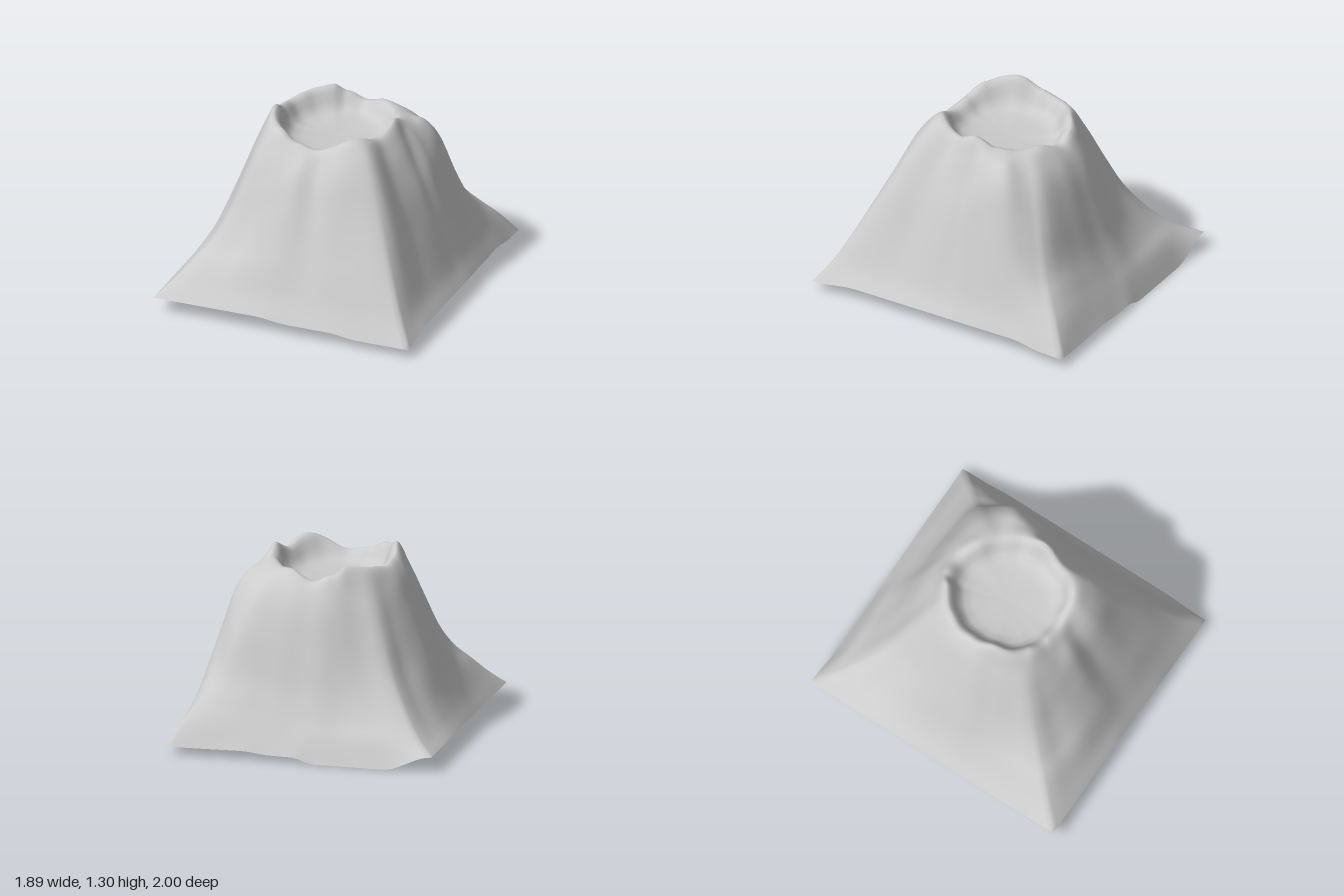
import * as THREE from 'three';

const HX = 0.945, HZ = 1, SIDE = 40, DOWN = 35;

// Smooth interpolation through [key, value] pairs (value: number or array)
function blend(keys, k) {
  let i = 0;
  while (i < keys.length - 2 && k > keys[i + 1][0]) i++;
  const [k0, a] = keys[i], [k1, b] = keys[i + 1];
  const s = THREE.MathUtils.smoothstep(k, k0, k1);
  return Array.isArray(a) ? a.map((v, n) => v + (b[n] - v) * s) : a + (b - a) * s;
}

// Catmull-Rom through evenly spaced values, level at the start
function spline(v, t) {
  const f = t * (v.length - 1), i = Math.min(Math.floor(f), v.length - 2), u = f - i;
  const b = v[i], c = v[i + 1];
  const a = i > 0 ? v[i - 1] : c, d = i + 2 < v.length ? v[i + 2] : 2 * c - b;
  return b + 0.5 * u * (c - a + u * (2 * a - 5 * b + 4 * c - d + u * (3 * (b - c) + d - a)));
}

// Crater rim height and radius by angle in degrees (0 = +x, 90 = +z)
const rimHeight = [[0, 1.28], [24, 1.21], [50, 1.265], [88, 1.155], [108, 1.18], [128, 1.24], [159, 1.3],
  [183, 1.23], [200, 1.21], [218, 1.23], [246, 1.255], [258, 1.2], [275, 1.15], [300, 1.21], [318, 1.2], [338, 1.22], [360, 1.28]];
const rimRadius = [[0, 0.43], [24, 0.42], [48, 0.455], [90, 0.41], [133, 0.44], [180, 0.405], [226, 0.42], [270, 0.45], [314, 0.43], [360, 0.43]];

// Slope heights by angle, at sevenths of the way from rim to outer edge
const right = [1.15, 0.98, 0.81, 0.61, 0.4, 0.22];
const slope = [
  [0, right],
  [24, [1.1, 0.95, 0.78, 0.58, 0.39, 0.22]],
  [46.6, [1.18, 1.02, 0.83, 0.63, 0.42, 0.225]],
  [66, [1.16, 1.03, 0.81, 0.6, 0.42, 0.23]],
  [82, [1.07, 0.94, 0.76, 0.58, 0.4, 0.23]],
  [96, [1.1, 0.99, 0.8, 0.6, 0.42, 0.23]],
  [133.4, [1.1, 0.86, 0.61, 0.44, 0.33, 0.215]],
  [180, [1.15, 0.97, 0.77, 0.57, 0.37, 0.22]],
  [226.6, [1.06, 0.81, 0.57, 0.4, 0.27, 0.175]],
  [270, [1.09, 0.94, 0.7, 0.46, 0.29, 0.16]],
  [313.4, [1.15, 1.03, 0.81, 0.52, 0.365, 0.23]],
  [332, [1.19, 1.15, 1.03, 0.78, 0.52, 0.27]],
  [349, [1.19, 1.09, 0.94, 0.71, 0.47, 0.25]],
  [360, right],
];

// Height of the outer edge along each side
const frontEdge = [[-HX, 0.11], [-0.2, 0.11], [0.05, 0.087], [0.35, 0.087], [0.55, 0.065], [HX, 0.065]];
const backEdge = [[-HX, 0.11], [-0.6, 0], [-0.1, 0], [0.05, 0.04], [0.2, 0.042], [0.4, 0.06], [0.8, 0.055], [HX, 0.065]];
const rightEdge = [[-1, 0.065], [-0.85, 0.07], [-0.6, 0.107], [0.65, 0.107], [1, 0.065]];

// Outer edge as a closed loop of points, running from +x towards +z
function edgeLoop() {
  const pts = [];
  for (let i = 0; i < SIDE; i++) {
    const z = -HZ + (2 * HZ * i) / SIDE;
    pts.push([HX, blend(rightEdge, z), z]);
  }
  for (let i = 0; i < SIDE; i++) {
    const x = HX - (2 * HX * i) / SIDE;
    pts.push([x, blend(frontEdge, x), HZ]);
  }
  for (let i = 0; i < SIDE; i++) pts.push([-HX, 0.11, HZ - (2 * HZ * i) / SIDE]);
  for (let i = 0; i < SIDE; i++) {
    const x = -HX + (2 * HX * i) / SIDE;
    pts.push([x, blend(backEdge, x), -HZ]);
  }
  return pts;
}

// Crater from centre to rim: [share of rim radius, share of climb]
const bowl = [[0, 0], [0.25, 0.01], [0.55, 0.04], [0.7, 0.11], [0.79, 0.26], [0.85, 0.5], [0.9, 0.77], [0.95, 0.94]];
const FLOOR = 1.07;

function mountainGeometry() {
  const loop = edgeLoop(), n = loop.length, rows = bowl.length + DOWN + 1;
  const reach = loop.map(([x, , z]) => Math.hypot(x, z));
  // Corner reach averaged with its neighbours, to round the ridges higher up
  const soft = reach.map((_, i) => {
    let sum = 0;
    for (let k = -4; k <= 4; k++) sum += reach[(i + k + n) % n];
    return sum / 9;
  });
  const pos = [], index = [];
  for (let j = 0; j < rows; j++) {
    loop.forEach(([ex, ey, ez], i) => {
      const angle = Math.atan2(ez, ex), edge = reach[i];
      const deg = (THREE.MathUtils.radToDeg(angle) + 360) % 360;
      const top = blend(rimHeight, deg);
      const rim = blend(rimRadius, deg) + 0.003 * Math.sin(angle * 13);
      let r, y;
      if (j < bowl.length) {
        r = rim * bowl[j][0];
        y = FLOOR + (top - FLOOR) * bowl[j][1];
      } else {
        const t = (j - bowl.length) / DOWN;
        r = rim + (THREE.MathUtils.lerp(soft[i], edge, t * t) - rim) * t;
        // Shallow gullies fade out at rim and foot
        const gully = Math.sin(angle * 11 + 1) + 0.6 * Math.sin(angle * 19 + 3 * t);
        y = spline([top, ...blend(slope, deg), ey], t) + 0.008 * gully * Math.sin(Math.PI * t) ** 2;
      }
      pos.push((ex / edge) * r, y, (ez / edge) * r);
    });
  }
  for (let j = 0; j < rows - 1; j++) {
    for (let i = 0; i < n; i++) {
      const a = j * n + i, d = j * n + ((i + 1) % n), b = a + n, c = d + n;
      if (j > 0) index.push(a, d, c);
      index.push(a, c, b);
    }
  }
  const geo = new THREE.BufferGeometry();
  geo.setAttribute('position', new THREE.Float32BufferAttribute(pos, 3));
  geo.setIndex(index);
  geo.computeVertexNormals();
  return geo;
}

export function createModel() {
  const model = new THREE.Group();
  model.name = 'volcano';
  // Open sheet: crater, rim and slopes in one smooth surface
  const material = new THREE.MeshStandardMaterial({ color: 0xcccccc, side: THREE.DoubleSide });
  const mountain = new THREE.Mesh(mountainGeometry(), material);
  mountain.name = 'craterAndSlopes';
  model.add(mountain);
  return model;
}
